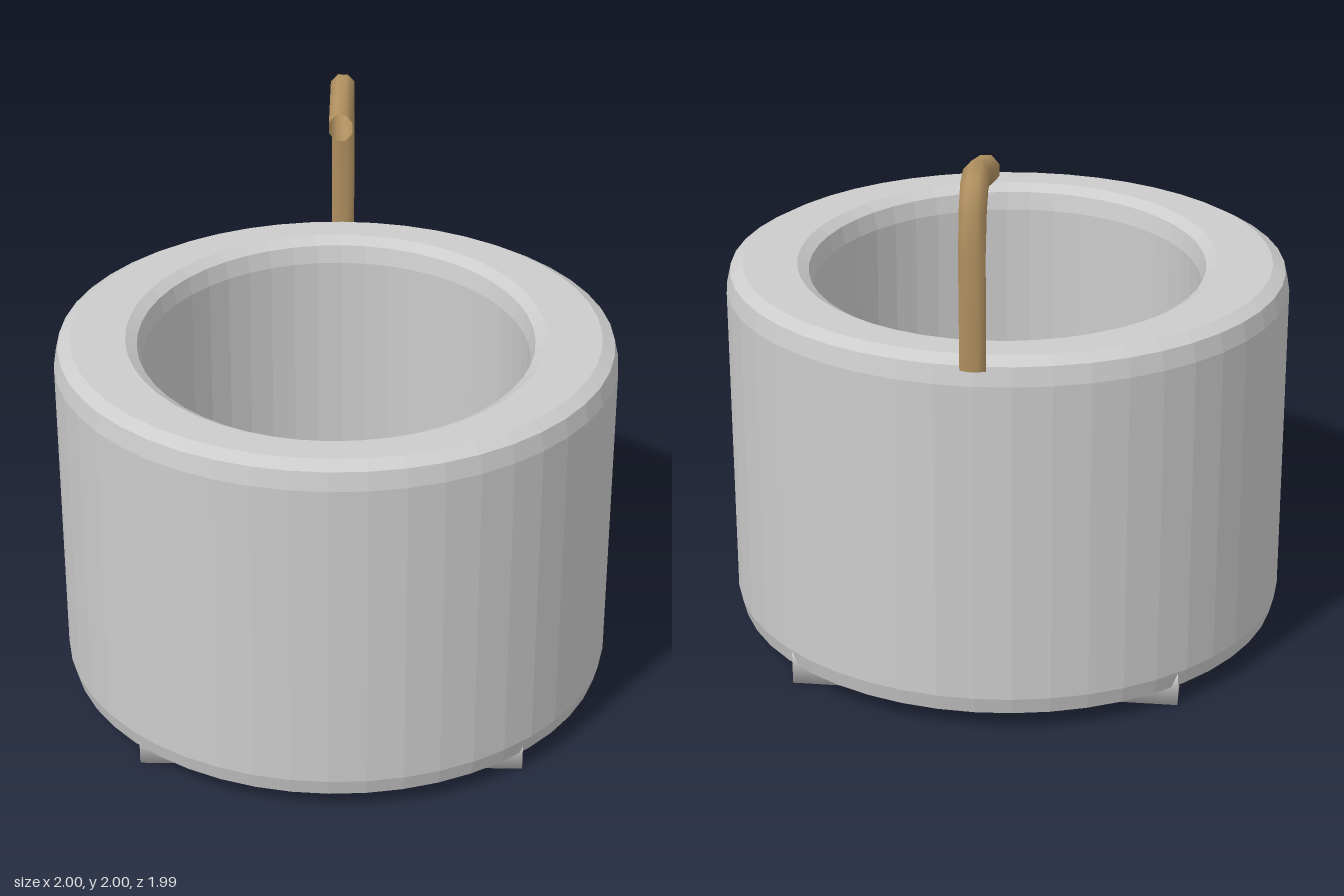
import * as THREE from 'three';
import { mergeVertices } from 'three/addons/utils/BufferGeometryUtils.js';

const SIDES = 48;

// Thick round wall with bevelled rims and a slightly oval bore
function makeWall() {
  const profile = [
    [0.745, 0.05], [0.94, 0.05], [0.985, 0.07], [1, 0.13], [1, 1.28], [0.985, 1.345], [0.94, 1.37],
    [0.745, 1.37], [0.705, 1.345], [0.69, 1.28], [0.69, 0.13], [0.705, 0.07], [0.745, 0.05],
  ].map(([r, y]) => new THREE.Vector2(r, y));
  const geo = new THREE.LatheGeometry(profile, SIDES);
  const p = geo.attributes.position;
  for (let i = 0; i < p.count; i++) {
    const bore = Math.hypot(p.getX(i), p.getZ(i)) < 0.8;
    const stretch = bore ? 1.09 : 0.99;
    p.setZ(i, p.getZ(i) * stretch + 0.005);
  }
  geo.computeVertexNormals();
  return new THREE.Mesh(geo, new THREE.MeshStandardMaterial({ color: 0xcccccc, flatShading: true }));
}

// Square floor block with soft shared normals
function makeFloor() {
  const box = new THREE.BoxGeometry(1.355, 0.12, 1.44);
  box.deleteAttribute('normal');
  box.deleteAttribute('uv');
  const geo = mergeVertices(box);
  geo.computeVertexNormals();
  const mesh = new THREE.Mesh(geo, new THREE.MeshStandardMaterial({ color: 0xcccccc }));
  mesh.position.y = 0.06;
  return mesh;
}

// Open bent tube, flattened towards its foot
function makeHook() {
  // z, y, half thickness across the bend
  const path = [
    [-0.965, 1.33, 0.017], [-0.974, 1.72, 0.022], [-0.948, 1.86, 0.038],
    [-0.905, 1.935, 0.046], [-0.85, 1.952, 0.047], [-0.6, 1.89, 0.05],
  ];
  const n = 8, halfWidth = 0.043;
  const pos = [], index = [];
  path.forEach(([z, y, half], i) => {
    const a = path[Math.max(i - 1, 0)], b = path[Math.min(i + 1, path.length - 1)];
    const len = Math.hypot(b[0] - a[0], b[1] - a[1]);
    const tz = (b[0] - a[0]) / len, ty = (b[1] - a[1]) / len;
    for (let k = 0; k < n; k++) {
      const t = ((k + 0.5) / n) * Math.PI * 2;
      const w = Math.sin(t) * half / Math.cos(Math.PI / n);
      // the open end is cut upright
      const cut = i === path.length - 1;
      pos.push(Math.cos(t) * halfWidth / Math.cos(Math.PI / n), y + w * (cut ? 1 : tz), z - w * (cut ? 0 : ty));
    }
  });
  for (let i = 0; i < path.length - 1; i++) {
    for (let k = 0; k < n; k++) {
      const a = i * n + k, b = i * n + (k + 1) % n;
      index.push(a, b, b + n, a, b + n, a + n);
    }
  }
  const geo = new THREE.BufferGeometry();
  geo.setAttribute('position', new THREE.Float32BufferAttribute(pos, 3));
  geo.setIndex(index);
  geo.computeVertexNormals();
  return new THREE.Mesh(geo, new THREE.MeshStandardMaterial({ color: 0xb09060, side: THREE.DoubleSide }));
}

export function createModel() {
  const group = new THREE.Group();
  const parts = { wall: makeWall(), floor: makeFloor(), hook: makeHook() };
  for (const [name, mesh] of Object.entries(parts)) {
    mesh.name = name;
    group.add(mesh);
  }
  return group;
}
